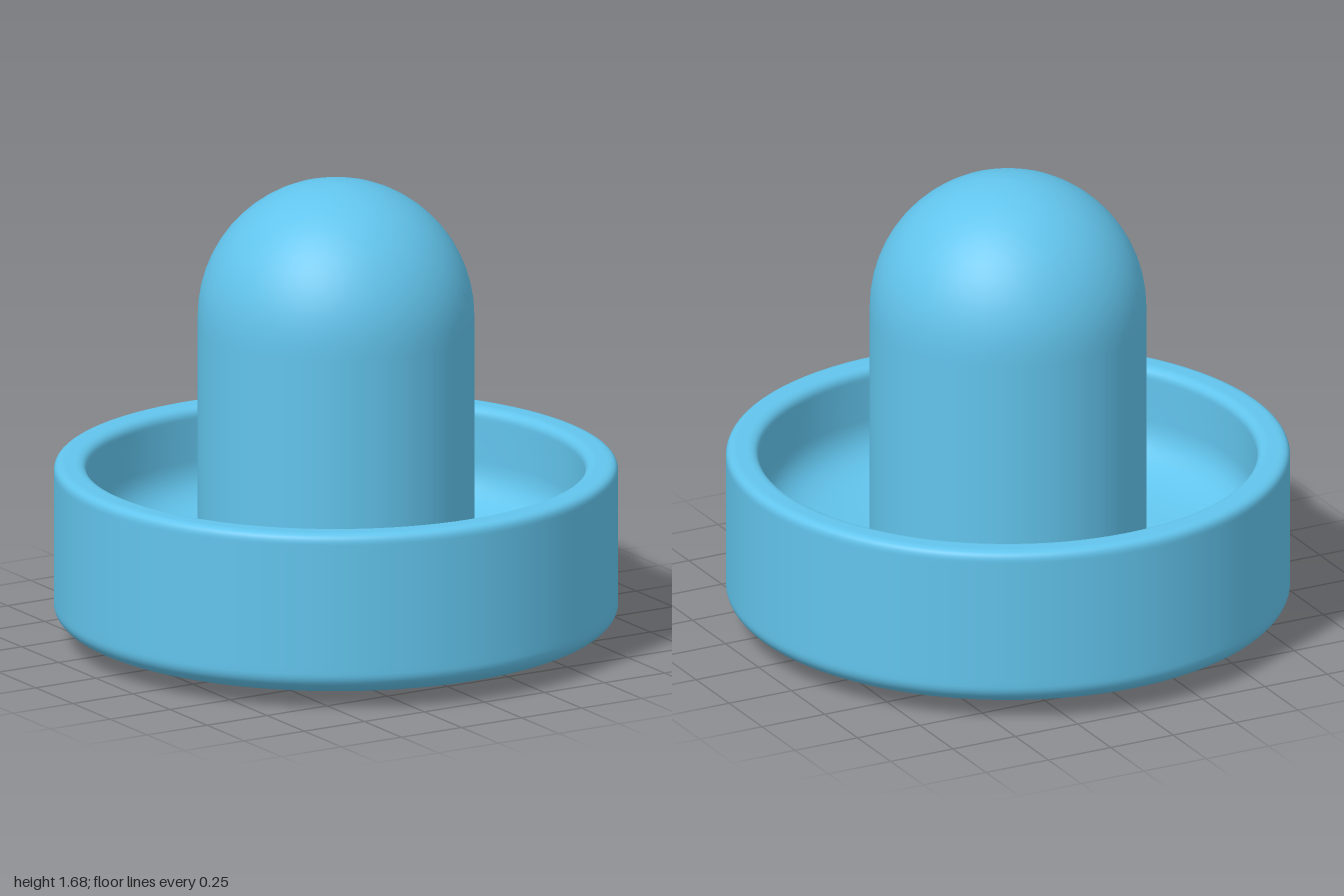
import * as THREE from 'three';

const SEGMENTS = 96;

export function createModel() {
  const group = new THREE.Group();
  const material = new THREE.MeshStandardMaterial({ color: 0x62c4ec });

  const addLathe = (name, path) => {
    // Sample each stretch of the profile and drop the shared end points
    const points = [];
    for (const curve of path.curves) {
      const count = curve.isLineCurve ? 1 : 14;
      for (const p of curve.getPoints(count)) {
        if (!points.length || points[points.length - 1].distanceTo(p) > 1e-5) points.push(p);
      }
    }
    const mesh = new THREE.Mesh(new THREE.LatheGeometry(points, SEGMENTS), material);
    mesh.name = name;
    group.add(mesh);
  };

  // Dished base: slightly domed underside, upright wall, rounded rim, curved inside
  const base = new THREE.Path();
  base.moveTo(0, 0);
  base.bezierCurveTo(0.3, 0, 0.62, 0.012, 0.82, 0.038);
  base.bezierCurveTo(0.94, 0.054, 1, 0.085, 1, 0.14);
  base.lineTo(1, 0.16);
  base.lineTo(1, 0.6);
  base.lineTo(1, 0.615);
  base.bezierCurveTo(1, 0.641, 0.988, 0.653, 0.96, 0.653);
  base.lineTo(0.95, 0.653);
  base.lineTo(0.925, 0.653);
  base.bezierCurveTo(0.9, 0.653, 0.883, 0.641, 0.883, 0.615);
  base.lineTo(0.883, 0.6);
  base.lineTo(0.883, 0.46);
  base.bezierCurveTo(0.883, 0.33, 0.78, 0.27, 0.49, 0.25);
  base.lineTo(0, 0.24);
  addLathe('base', base);

  // Upright grip with a hemispherical top
  const grip = new THREE.Path();
  grip.moveTo(0.49, 0.2);
  grip.lineTo(0.49, 1.15);
  grip.lineTo(0.49, 1.19);
  grip.absarc(0, 1.19, 0.49, 0, Math.PI / 2, false);
  addLathe('grip', grip);

  return group;
}
